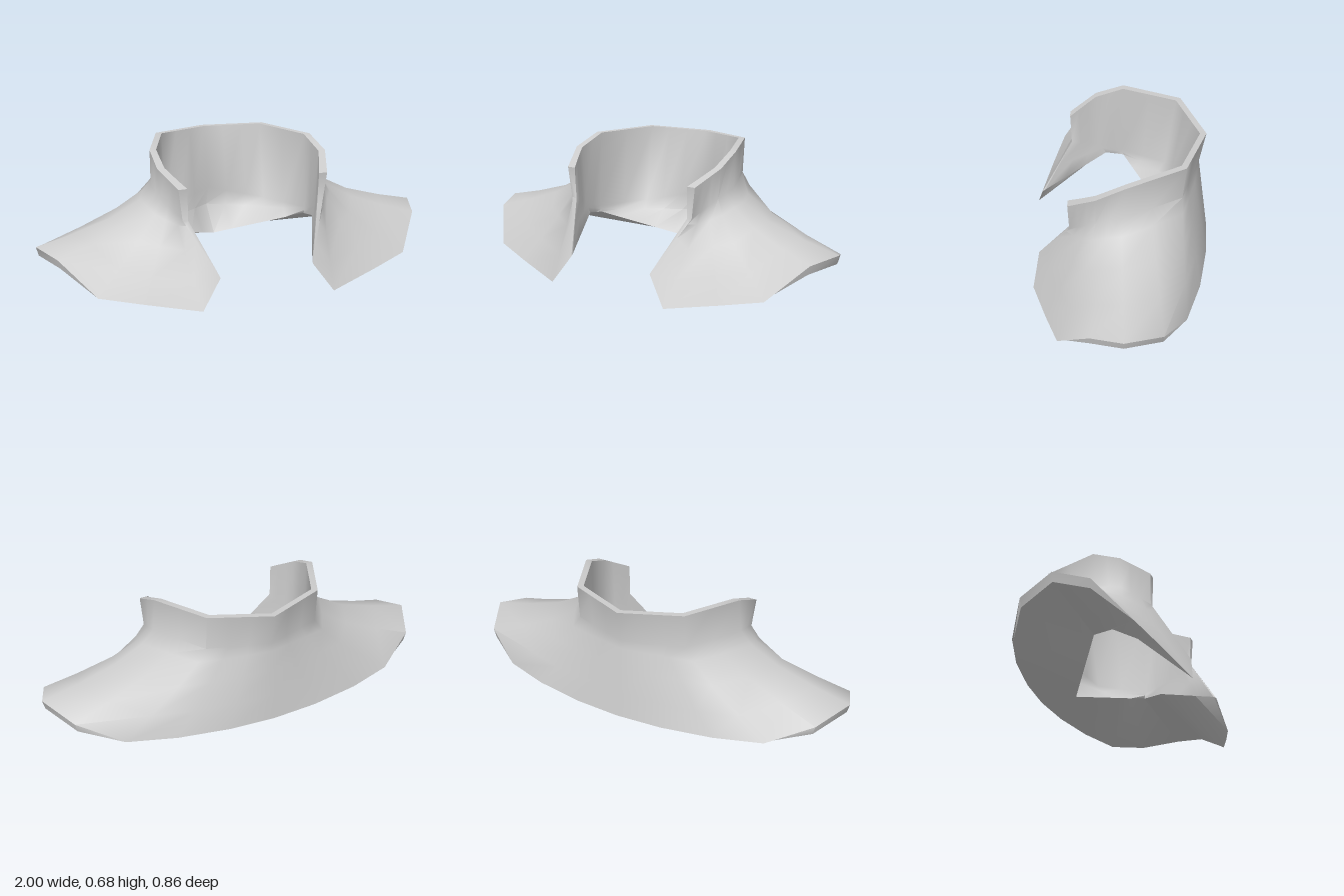
import * as THREE from 'three';
import { toCreasedNormals } from 'three/addons/utils/BufferGeometryUtils.js';

// Columns run from the back centre (0) round to the front opening (LAST).
const LAST = 10;

// Guide lines as [column, x, y, z]; columns in between are interpolated.
const rim = [[0, 0, 0.67, -0.41], [3, 0.29, 0.68, -0.3], [5, 0.425, 0.67, -0.02], [7, 0.44, 0.615, 0.12], [LAST, 0.385, 0.54, 0.25]];
const collarBase = [[0, 0, 0.51, -0.38], [3, 0.29, 0.51, -0.285], [5, 0.43, 0.5, 0], [7, 0.425, 0.47, 0.12], [LAST, 0.365, 0.39, 0.245]];
const ledge = [[0, 0, 0.135, -0.25], [5, 0.4, 0.255, -0.02], [7, 0.4, 0.27, 0.07], [LAST, 0.243, 0.15, 0.385]];
const lining = [[0, 0, 0.36, -0.32], [3, 0.27, 0.3, -0.23], [5, 0.4, 0.29, -0.01], [7, 0.395, 0.33, 0.11], [LAST, 0.337, 0.385, 0.245]];
const hem = [
  [0, 0, 0.125, -0.43], [1, 0.23, 0.125, -0.415], [2, 0.48, 0.127, -0.37], [3, 0.71, 0.13, -0.295],
  [4, 0.91, 0.22, -0.18], [5, 1, 0.27, 0], [6, 0.94, 0.245, 0.15], [7, 0.8, 0.09, 0.3],
  [8, 0.6, 0.05, 0.36], [9, 0.34, 0, 0.43], [LAST, 0.24, 0.14, 0.4],
];

function pointAt(line, k) {
  const n = Math.max(1, line.findIndex((p) => p[0] >= k));
  const a = line[n - 1], b = line[n];
  return new THREE.Vector3(...a.slice(1)).lerp(new THREE.Vector3(...b.slice(1)), (k - a[0]) / (b[0] - a[0]));
}

// Closed cross-section at one column: outer rim, slope, hem, then back up the inside.
function crossSection(k) {
  const top = pointAt(rim, k), base = pointAt(collarBase, k);
  const edge = pointAt(hem, k), inner = pointAt(ledge, k), liner = pointAt(lining, k);

  // concave slope from the collar to the hem, straight at the back and the opening
  const sag = 0.055 * Math.min(1, k / 5) * (1 - (k / LAST) ** 4);
  const slope = [0.1, 0.35, 0.68].map((t) => {
    const p = base.clone().lerp(edge, t);
    p.y -= sag * Math.sin(Math.PI * t ** 0.6);
    return p;
  });

  // the hem is thick only at the shoulder tip
  const lowerEdge = edge.clone().lerp(inner, 0.02);
  lowerEdge.y -= 0.042 * THREE.MathUtils.clamp(2 - Math.abs(k - 5), 0, 1);

  // recess between the ledge and the lining, deepest at the back
  const recess = inner.clone().lerp(liner, 0.5);
  recess.y += 0.015 * Math.max(0, 1 - k / 5);
  recess.z -= 0.065 * Math.max(0, 1 - k / 5);

  // collar wall thickness
  const innerTop = new THREE.Vector3(top.x * 0.925 - 0.015 * (k / LAST) ** 4, top.y, top.z < 0 ? top.z * 0.925 : top.z);
  return [top, base, ...slope, edge, lowerEdge, inner, recess, liner, innerTop];
}

function buildMantle() {
  const positions = [], index = [];
  const columns = 2 * LAST + 1;
  const count = crossSection(0).length;
  for (let c = -LAST; c <= LAST; c++) {
    for (const p of crossSection(Math.abs(c))) positions.push(c < 0 ? -p.x : p.x, p.y, p.z);
  }
  const id = (c, r) => c * count + (r % count);

  // shell
  for (let c = 0; c < columns - 1; c++) {
    for (let r = 0; r < count; r++) {
      const a = id(c, r), b = id(c, r + 1), d = id(c + 1, r + 1), e = id(c + 1, r);
      index.push(a, e, d, a, d, b);
    }
  }

  // closed front edges, fanned from the bottom of the collar lining
  const hub = count - 2;
  for (let r = hub + 1; r < hub + count - 1; r++) {
    index.push(id(0, hub), id(0, r), id(0, r + 1));
    index.push(id(columns - 1, hub), id(columns - 1, r + 1), id(columns - 1, r));
  }

  const geometry = new THREE.BufferGeometry();
  geometry.setAttribute('position', new THREE.Float32BufferAttribute(positions, 3));
  geometry.setIndex(index);
  return toCreasedNormals(geometry, 1.05);
}

export function createModel() {
  const group = new THREE.Group();
  group.name = 'shoulderMantle';
  const material = new THREE.MeshStandardMaterial({ color: 0xcccccc, side: THREE.DoubleSide });
  const mantle = new THREE.Mesh(buildMantle(), material);
  mantle.name = 'collarAndShoulders';
  group.add(mantle);
  return group;
}
